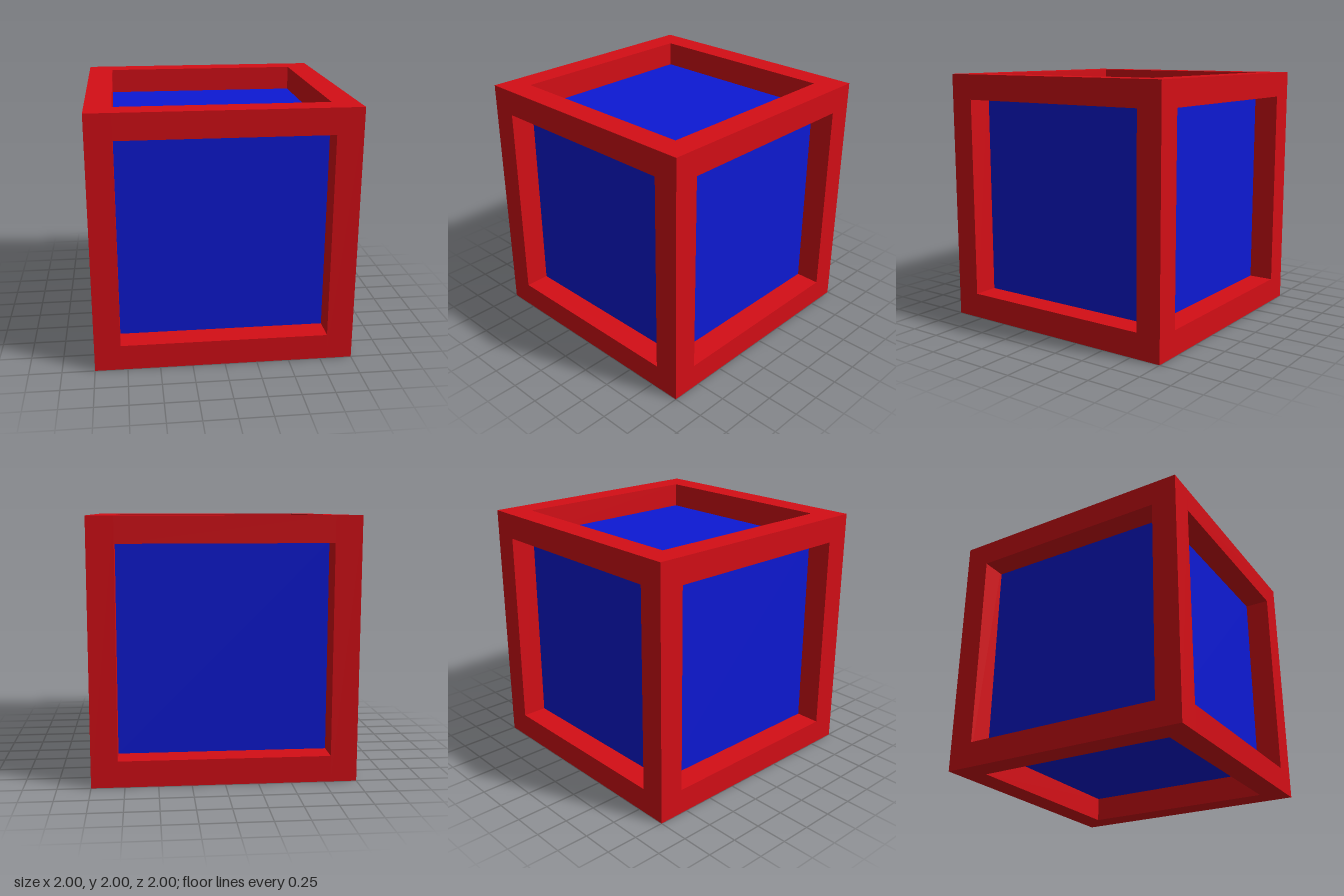
import * as THREE from 'three';

const SIZE = 2;            // outer edge length
const BAR = 0.2;           // thickness of the frame bars
const INNER = SIZE - 2 * BAR;
const OFFSET = (SIZE - BAR) / 2;

export function createModel() {
  const model = new THREE.Group();
  model.name = 'framedCube';
  const red = new THREE.MeshStandardMaterial({ color: 0xd40e16 });
  const blue = new THREE.MeshStandardMaterial({ color: 0x0d19d4 });

  function addBox(parent, name, material, size, position) {
    const mesh = new THREE.Mesh(new THREE.BoxGeometry(...size), material);
    mesh.name = name;
    mesh.position.set(...position);
    parent.add(mesh);
  }

  // Solid core, set back by one bar thickness on every side
  addBox(model, 'core', blue, [INNER, INNER, INNER], [0, SIZE / 2, 0]);

  // Frame: four full-height posts, with beams fitted between them
  const frame = new THREE.Group();
  frame.name = 'frame';
  frame.position.y = SIZE / 2;
  model.add(frame);
  for (const a of [-OFFSET, OFFSET]) {
    for (const b of [-OFFSET, OFFSET]) {
      addBox(frame, 'post', red, [BAR, SIZE, BAR], [a, 0, b]);
      addBox(frame, 'crossBeam', red, [INNER, BAR, BAR], [0, a, b]);
      addBox(frame, 'sideBeam', red, [BAR, BAR, INNER], [a, b, 0]);
    }
  }
  return model;
}
